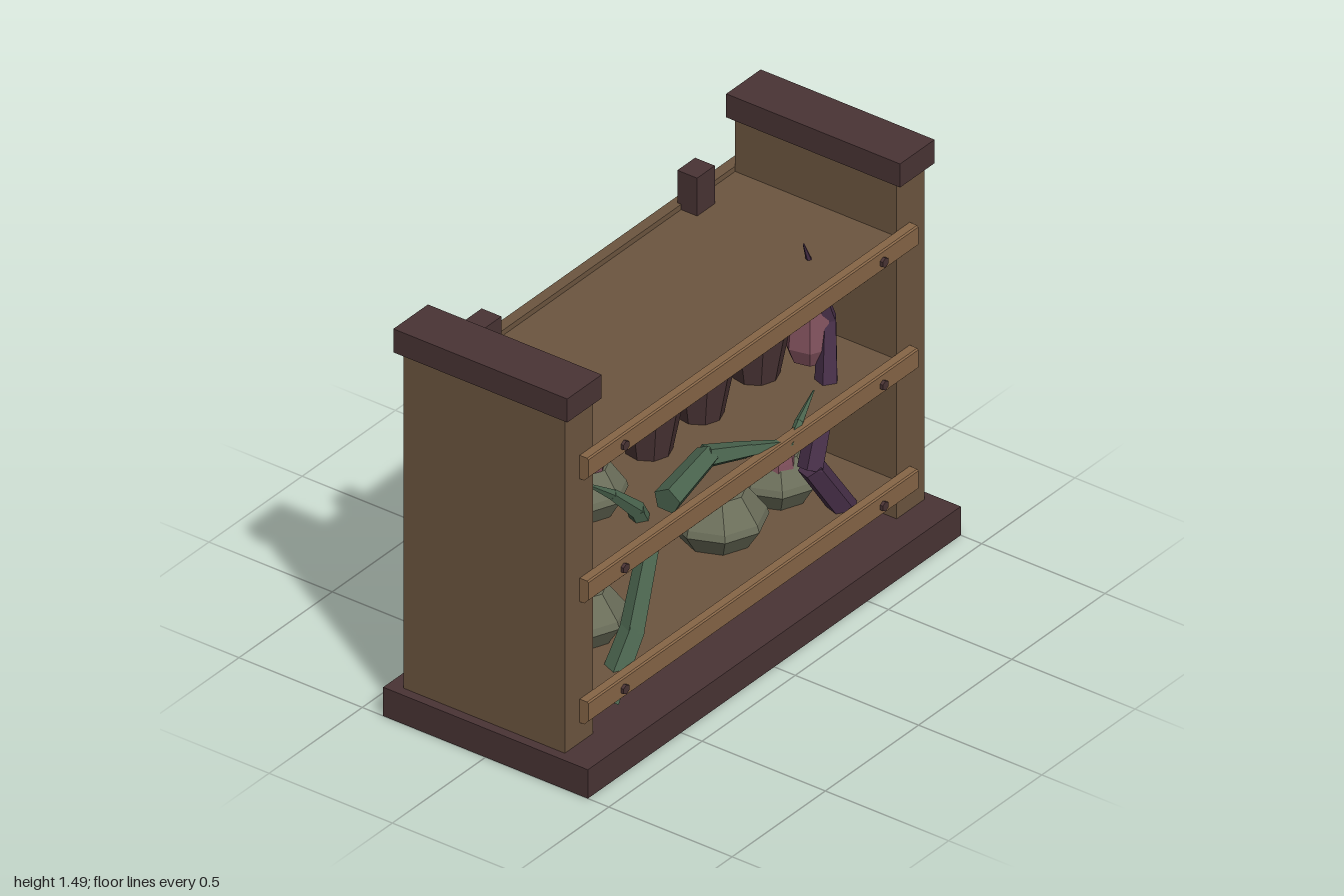
import * as THREE from 'three';

const mat = (name, color) => {
  const m = new THREE.MeshStandardMaterial({ color });
  m.name = name;
  m.flatShading = true;
  return m;
};

export function createModel() {
  const darkWood = mat('dark wood', 0x4a3435);
  const wood = mat('brown wood', 0x6d5640);
  const railWood = mat('light wood', 0x876647);
  const gourdGreen = mat('grey green', 0x6b6e5a);
  const rose = mat('dusty rose', 0x82525e);
  const vineGreen = mat('vine green', 0x4a644e);
  const vinePurple = mat('vine purple', 0x472f48);

  const model = new THREE.Group();
  model.name = 'displayShelf';

  const add = (name, geo, material, x = 0, y = 0, z = 0, parent = model) => {
    const mesh = new THREE.Mesh(geo, material);
    mesh.name = name;
    mesh.position.set(x, y, z);
    parent.add(mesh);
    return mesh;
  };
  // Box given by its min and max corners
  const box = (name, material, [x0, y0, z0], [x1, y1, z1]) =>
    add(name, new THREE.BoxGeometry(x1 - x0, y1 - y0, z1 - z0), material,
      (x0 + x1) / 2, (y0 + y1) / 2, (z0 + z1) / 2);
  // Faceted turned solid from [radius, height] pairs
  const turned = (profile, sides) =>
    new THREE.LatheGeometry(profile.map(([r, y]) => new THREE.Vector2(r, y)), sides);

  // Frame: base, side panels, caps and rear posts
  box('base', darkWood, [-1, 0, -0.415], [1, 0.11, 0.415]);
  for (const s of [-1, 1]) {
    const side = s > 0 ? 'left' : 'right';
    const mirrored = (name, m, [x0, y0, z0], [x1, y1, z1]) =>
      box(side + name, m, [s > 0 ? x0 : -x1, y0, z0], [s > 0 ? x1 : -x0, y1, z1]);
    mirrored('SidePanel', wood, [0.815, 0.11, -0.36], [0.965, 1.395, 0.295]);
    mirrored('Cap', darkWood, [0.8, 1.395, -0.385], [0.985, 1.485, 0.32]);
    mirrored('RearPost', darkWood, [0.525, 0.11, -0.375], [0.62, 1.335, -0.295]);
  }

  // Three levels: shelf, rear rail, chamfered front rail with two nails
  const railProfile = new THREE.Shape([
    [0, -0.045], [0.018, -0.045], [0.035, -0.027], [0.035, 0.04], [0.03, 0.045], [0, 0.045],
  ].map(([z, y]) => new THREE.Vector2(-z, y)).reverse());
  const railGeo = new THREE.ExtrudeGeometry(railProfile, { depth: 1.77, bevelEnabled: false });
  railGeo.translate(0, 0, -0.885).rotateY(Math.PI / 2);
  const nailGeo = new THREE.CylinderGeometry(0.018, 0.018, 0.014, 6).rotateX(Math.PI / 2);
  for (const y of [0.232, 0.695, 1.165]) {
    box('shelf', wood, [-0.815, y - 0.025, -0.36], [0.815, y + 0.025, 0.295]);
    box('rearRail', wood, [-0.885, y - 0.045, -0.4], [0.885, y + 0.045, -0.36]);
    add('frontRail', railGeo, railWood, 0, y, 0.295);
    for (const x of [-0.695, 0.695]) add('nail', nailGeo, darkWood, x, y + 0.003, 0.334);
  }

  // Pots with light lids
  const potGeo = turned([[0, 0], [0.08, 0], [0.115, 0.18], [0.118, 0.235]], 9);
  const lidGeo = turned([[0.118, 0.235], [0.08, 0.285], [0, 0.285]], 9);
  for (const x of [-0.1, 0.175, 0.475]) {
    const pot = new THREE.Group();
    pot.name = 'pot';
    pot.position.set(x, 0.72, -0.02);
    model.add(pot);
    add('potBody', potGeo, darkWood, 0, 0, 0, pot);
    add('potLid', lidGeo, railWood, 0, 0, 0, pot);
  }

  // Squat gourds
  const gourdGeo = turned([[0, 0], [0.12, 0], [0.168, 0.075], [0.16, 0.1], [0.095, 0.185], [0, 0.185]], 8);
  for (const [x, y, z, s] of [
    [0.2, 0.255, 0.035, 1], [-0.535, 0.255, 0.03, 0.96],
    [0.52, 0.255, 0.03, 0.88], [-0.505, 0.72, 0.03, 0.84],
  ]) {
    const gourd = add('gourd', gourdGeo, gourdGreen, x, y, z);
    gourd.scale.set(s, 0.5 + s / 2, s);
  }

  // Rose buds with a bent tip
  const bud = (x, y, z, profile) => {
    const group = new THREE.Group();
    group.name = 'bud';
    group.position.set(x, y, z);
    model.add(group);
    add('budBody', turned(profile, 7), rose, 0, 0, 0, group);
    const [r, top] = profile[profile.length - 2];
    const tip = add('budTip', new THREE.ConeGeometry(r * 0.5, 0.045, 5), rose, r * 0.5, top + 0.005, 0, group);
    tip.rotation.z = -0.8;
  };
  const stem = (h) => [[0, 0], [0.065, 0], [0.06, 0.04], [0.045, h], [0, h]];
  bud(0.23, 0.41, 0.05, stem(0.155));
  bud(-0.55, 0.4, 0.04, stem(0.13));
  bud(0.49, 0.38, 0.06, stem(0.13));
  bud(-0.515, 0.84, 0.04, [[0, 0], [0.06, 0], [0.075, 0.12], [0.068, 0.19], [0.042, 0.235], [0, 0.235]]);
  bud(0.605, 0.765, 0.1, [[0, 0], [0.065, 0], [0.088, 0.06], [0.075, 0.2], [0.055, 0.3], [0, 0.3]]);

  // Jointed tapering vines: each point is x, y, z, radius
  const up = new THREE.Vector3(0, 1, 0);
  const vine = (name, material, points) => {
    const group = new THREE.Group();
    group.name = name;
    model.add(group);
    for (let i = 0; i + 1 < points.length; i++) {
      const a = new THREE.Vector3(...points[i]);
      const b = new THREE.Vector3(...points[i + 1]);
      const dir = b.clone().sub(a);
      const geo = new THREE.CylinderGeometry(points[i + 1][3], points[i][3], dir.length() + 0.012, 5);
      const mid = a.clone().add(b).multiplyScalar(0.5);
      const mesh = add('vineSegment', geo, material, mid.x, mid.y, mid.z, group);
      mesh.quaternion.setFromUnitVectors(up, dir.normalize());
    }
  };
  vine('climbingVine', vineGreen, [
    [-0.68, 0.16, 0.25, 0.05], [-0.54, 0.35, 0.25, 0.045], [-0.39, 0.61, 0.21, 0.038],
    [-0.47, 0.76, 0.21, 0.032], [-0.57, 0.86, 0.19, 0.02], [-0.69, 0.955, 0.17, 0.003],
  ]);
  vine('trailingVine', vineGreen, [
    [-0.38, 0.775, 0.27, 0.05], [-0.12, 0.795, 0.23, 0.042], [0.04, 0.755, 0.27, 0.03],
    [0.21, 0.715, 0.32, 0.012], [0.3, 0.74, 0.29, 0.016], [0.44, 0.765, 0.24, 0.003],
  ]);
  vine('purpleVine', vinePurple, [
    [0.62, 0.2, 0.26, 0.048], [0.47, 0.45, 0.21, 0.046], [0.58, 0.7, 0.19, 0.042],
    [0.625, 0.92, 0.16, 0.032], [0.57, 1.1, 0.15, 0.02], [0.51, 1.255, 0.15, 0.003],
  ]);

  return model;
}
